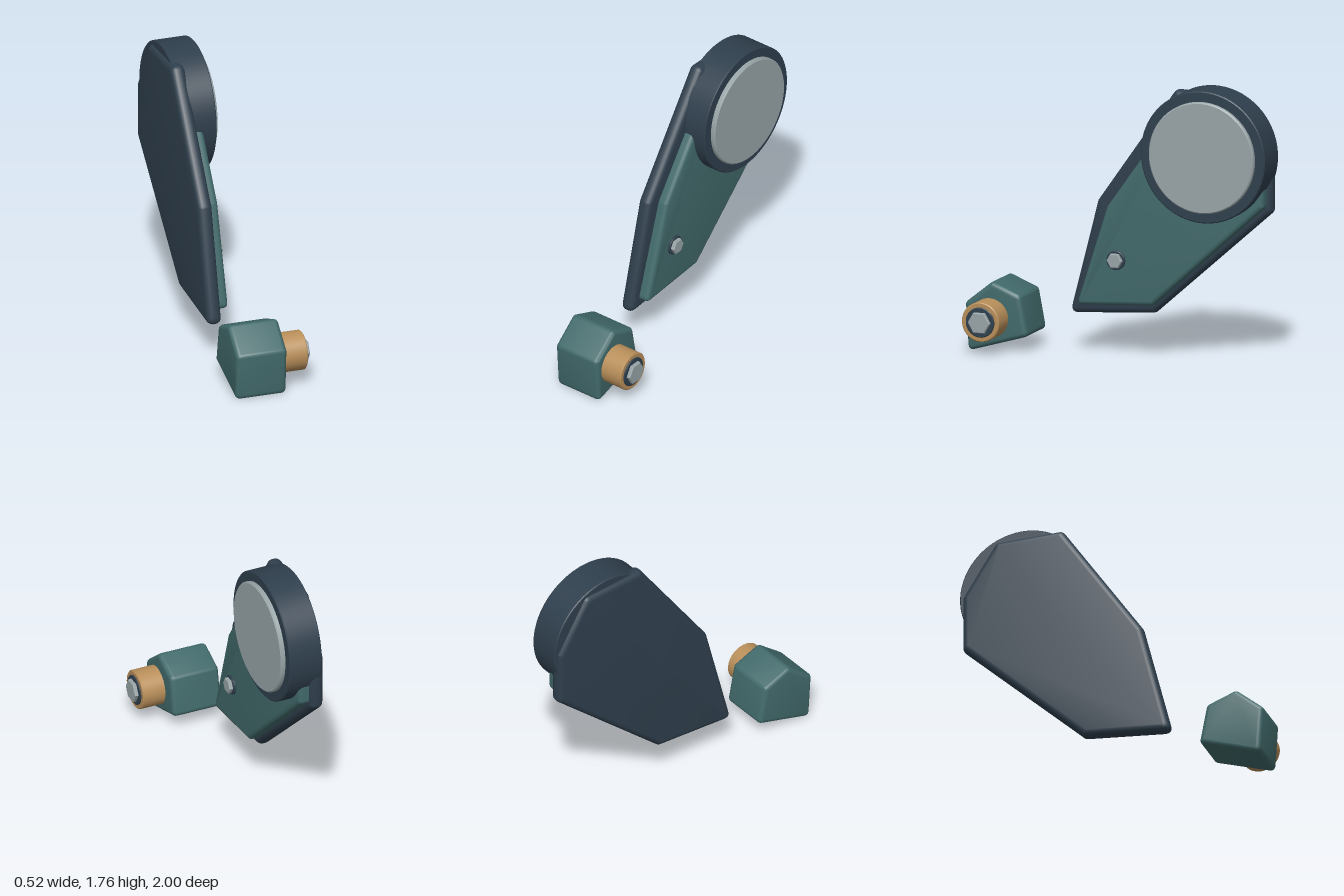
import * as THREE from 'three';
import { toCreasedNormals } from 'three/addons/utils/BufferGeometryUtils.js';

const paint = (name, color) => {
  const m = new THREE.MeshStandardMaterial({ color });
  m.name = name;
  return m;
};

// Outline from [z, y] corners, each corner rounded by radius r
function roundedShape(corners, r) {
  const pts = corners.map(([z, y]) => new THREE.Vector2(-z, y));
  const shape = new THREE.Shape();
  pts.forEach((p, i) => {
    const a = pts[(i + pts.length - 1) % pts.length].clone().sub(p).normalize();
    const b = pts[(i + 1) % pts.length].clone().sub(p).normalize();
    const cut = r / Math.tan(Math.acos(a.dot(b)) / 2);
    const start = p.clone().addScaledVector(a, cut);
    const end = p.clone().addScaledVector(b, cut);
    if (i === 0) shape.moveTo(start.x, start.y);
    else shape.lineTo(start.x, start.y);
    shape.quadraticCurveTo(p.x, p.y, end.x, end.y);
  });
  shape.closePath();
  return shape;
}

// Soft-edged slab spanning x0..x1
function slab(name, material, corners, x0, x1, bevel) {
  const geo = new THREE.ExtrudeGeometry(roundedShape(corners, bevel + 0.004), {
    depth: x1 - x0 - 2 * bevel, curveSegments: 6,
    bevelEnabled: true, bevelThickness: bevel, bevelSize: bevel,
    bevelOffset: -bevel, bevelSegments: 5,
  });
  geo.translate(0, 0, x0 + bevel).rotateY(Math.PI / 2);
  const mesh = new THREE.Mesh(toCreasedNormals(geo, 0.7), material);
  mesh.name = name;
  return mesh;
}

// Turned disc along x, with a chamfered rim; six sides gives a hex head
function disc(name, material, [z, y], r, x0, x1, chamfer, sides = 64) {
  const profile = [
    [0, x0], [r - chamfer, x0], [r, x0 + chamfer],
    [r, x1 - chamfer], [r - chamfer, x1], [0, x1],
  ].map(([a, b]) => new THREE.Vector2(a, b));
  const geo = new THREE.LatheGeometry(profile, sides).rotateZ(-Math.PI / 2);
  // the lathe axis now runs along +x
  const mesh = new THREE.Mesh(toCreasedNormals(geo, 0.5), material);
  mesh.position.set(0, y, z);
  mesh.name = name;
  return mesh;
}

export function createModel() {
  const navy = paint('dark navy', 0x2f3f4d);
  const teal = paint('teal', 0x426a6b);
  const steel = paint('pale steel', 0x98a4a7);
  const brass = paint('brass', 0xb98f5a);

  // Tall arm: backing plate, inset cover, round head and bolt
  const arm = new THREE.Group();
  arm.name = 'arm';
  const head = [-0.58, 1.34];
  const bolt = [0.04, 0.62];
  arm.add(
    slab('backPlate', navy, [
      [0.39, 0.24], [0.2, 0.975], [-0.325, 1.72], [-0.76, 1.7],
      [-0.98, 1.35], [-0.98, 0.99], [-0.185, 0.283],
    ], -0.235, -0.14, 0.04),
    slab('coverPlate', teal, [
      [0.315, 0.31], [0.108, 0.955], [-0.36, 1.61], [-0.7, 1.6],
      [-0.95, 1.3], [-0.95, 1.025], [-0.2, 0.345],
    ], -0.19, -0.073, 0.03),
    disc('headHousing', navy, head, 0.42, -0.21, 0.012, 0.006, 96),
    disc('headFace', steel, head, 0.355, -0.02, 0.042, 0.008, 96),
    disc('boltWasher', navy, bolt, 0.062, -0.09, -0.058, 0.004, 32),
    disc('boltHead', steel, bolt, 0.051, -0.08, -0.034, 0.005, 6),
  );

  // Separate foot block with a brass bushing and bolt
  const foot = new THREE.Group();
  foot.name = 'footBlock';
  const hub = [0.835, 0.215];
  foot.add(
    slab('block', teal, [
      [1.005, 0.3], [0.825, 0.445], [0.632, 0.368], [0.583, 0.112], [0.985, -0.008],
    ], -0.26, 0.073, 0.03),
    disc('bushing', brass, hub, 0.126, 0.03, 0.225, 0.006, 48),
    disc('hubWasher', navy, hub, 0.096, 0.2, 0.233, 0.004, 48),
    disc('hubBoltHead', steel, hub, 0.074, 0.21, 0.256, 0.006, 6),
  );

  const model = new THREE.Group();
  model.name = 'model';
  model.add(arm, foot);
  return model;
}
